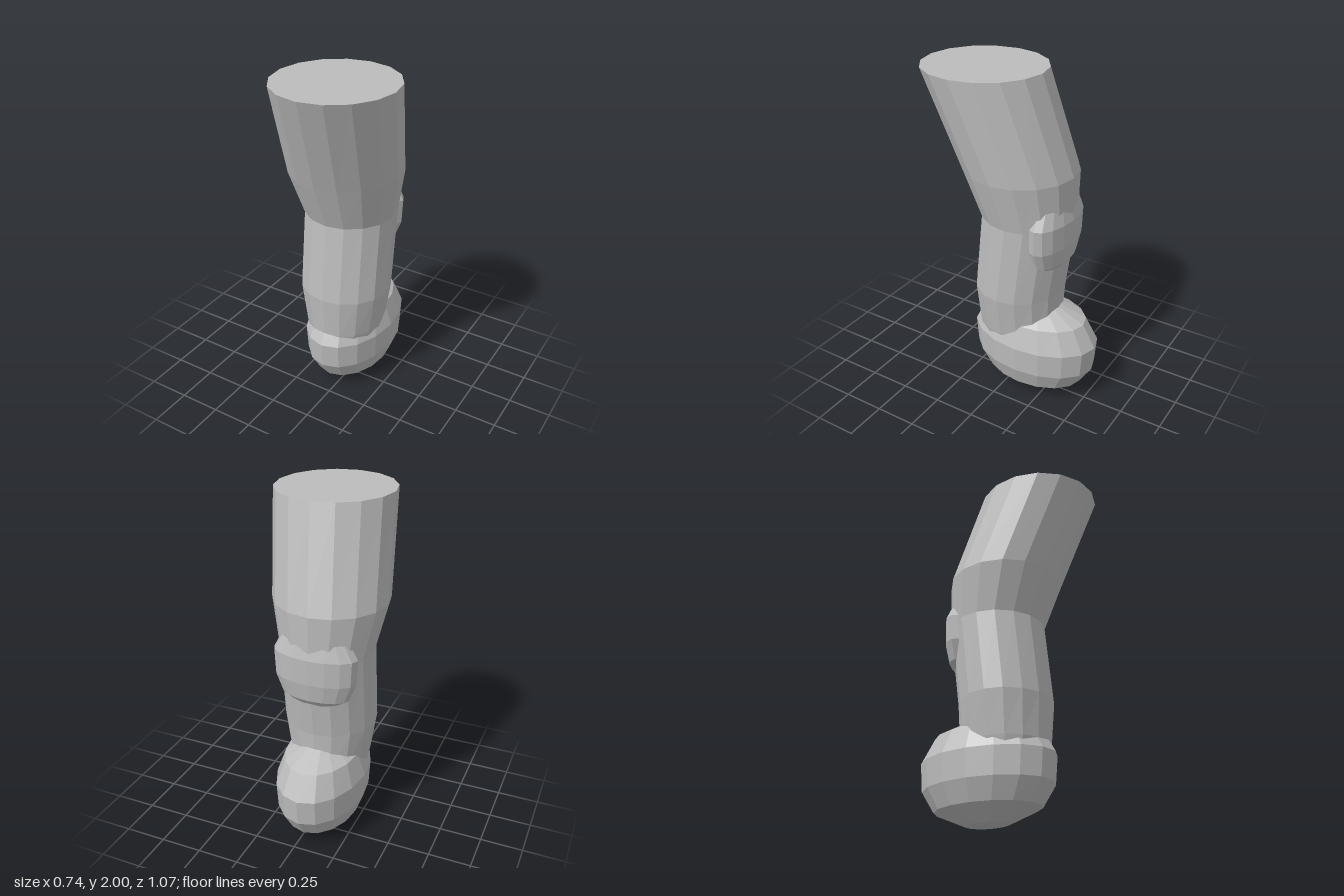
import * as THREE from 'three';

const SIDES = 16;

// Closed loft through horizontal elliptical rings [y, centreX, centreZ, radiusX, radiusZ], listed from the bottom up
function loft(name, rings, material) {
  const positions = [];
  const index = [];
  for (const [y, cx, cz, rx, rz] of rings) {
    for (let i = 0; i < SIDES; i++) {
      const a = (i / SIDES) * Math.PI * 2;
      positions.push(cx + rx * Math.sin(a), y, cz + rz * Math.cos(a));
    }
  }
  const last = (rings.length - 1) * SIDES;
  for (let i = 0; i < SIDES; i++) {
    const n = (i + 1) % SIDES;
    for (let r = 0; r < last; r += SIDES) {
      index.push(r + i, r + n, r + SIDES + n, r + i, r + SIDES + n, r + SIDES + i);
    }
    // End caps as fans
    if (i > 0 && i < SIDES - 1) index.push(0, n, i, last, last + i, last + n);
  }
  const indexed = new THREE.BufferGeometry();
  indexed.setAttribute('position', new THREE.Float32BufferAttribute(positions, 3));
  indexed.setIndex(index);
  const geometry = indexed.toNonIndexed();
  geometry.computeVertexNormals();
  const mesh = new THREE.Mesh(geometry, material);
  mesh.name = name;
  return mesh;
}

export function createModel() {
  const grey = new THREE.MeshStandardMaterial({ color: 0xbcbcbc });
  grey.name = 'plain grey';
  grey.flatShading = true;

  const group = new THREE.Group();
  group.name = 'leg';
  const cx = -0.037;

  // Thigh, knee, shin and ankle in one bent tube
  group.add(loft('legTube', [
    [0.33, cx, -0.02, 0.215, 0.235],
    [0.42, cx, -0.022, 0.235, 0.257],
    [0.67, cx, -0.02, 0.274, 0.27],
    [1.15, cx, -0.077, 0.273, 0.278],
    [1.43, cx, -0.022, 0.333, 0.333],
    [2, 0.022, 0.175, 0.345, 0.357],
  ], grey));

  // Rounded foot, longer towards the toes
  group.add(loft('foot', [
    [0, cx, -0.13, 0.083, 0.13],
    [0.08, cx, -0.13, 0.208, 0.316],
    [0.2, cx, -0.13, 0.252, 0.392],
    [0.36, cx, -0.13, 0.26, 0.405],
    [0.5, cx, -0.13, 0.213, 0.325],
    [0.58, cx, -0.13, 0.083, 0.13],
  ], grey));

  // Knee pad, half sunk into the knee
  const pad = [[0.86, 0.4], [0.92, 0.8], [1.03, 0.97], [1.18, 1], [1.27, 0.8], [1.33, 0.4]];
  group.add(loft('kneePad', pad.map(([y, f]) => [y, cx, -0.25, 0.25 * f, 0.115 * f]), grey));

  return group;
}
